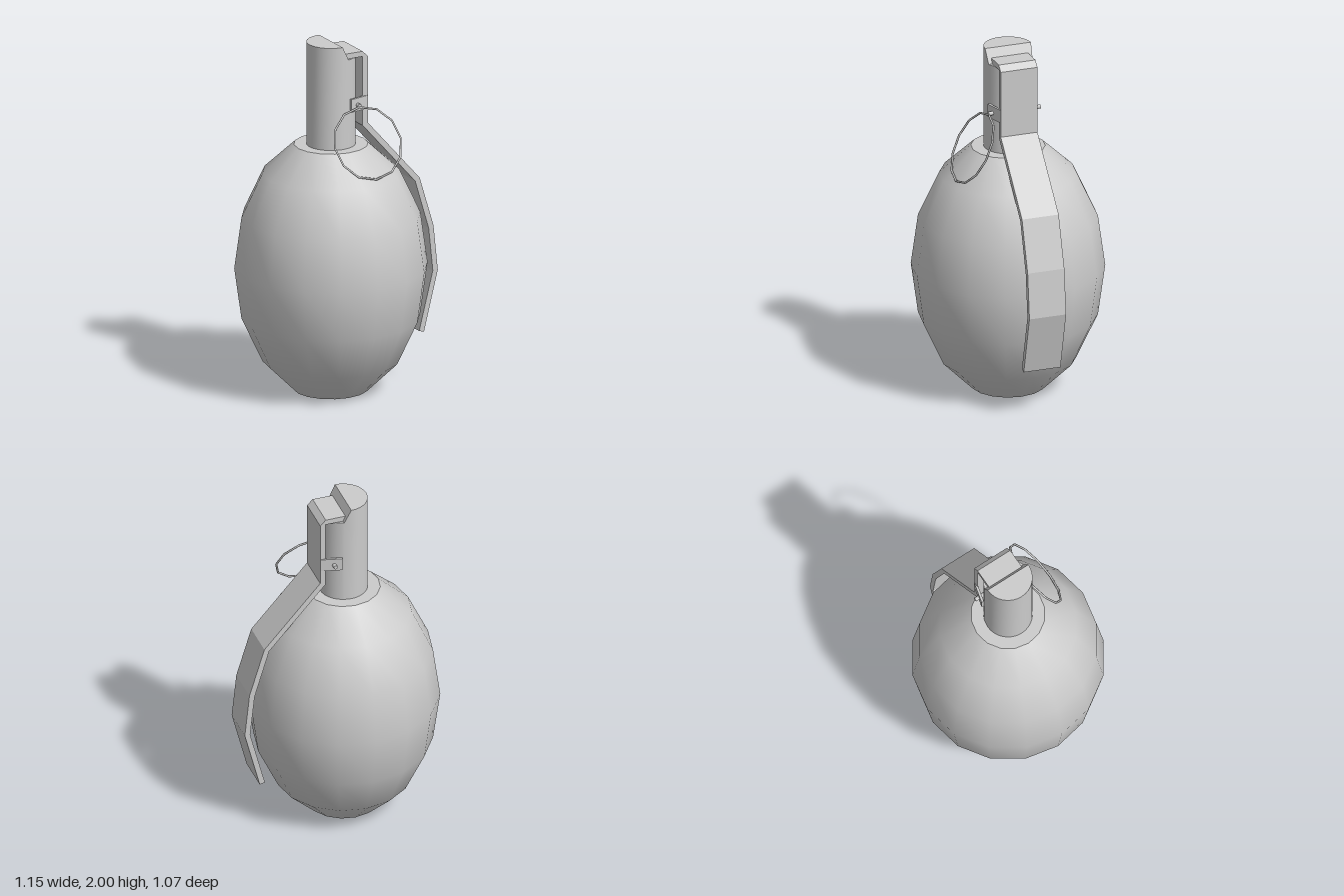
import * as THREE from 'three';
import { toCreasedNormals } from 'three/addons/utils/BufferGeometryUtils.js';

const AXIS_X = -0.04; // body and neck share this vertical axis

// Cylinder whose top follows a stepped height: high half, slope, low shelf
function neckGeometry(r, bottom, top, shelf, step, n = 16) {
  const rim = [];
  for (let i = 0; i <= n; i++) {
    const a = i === n / 2 - 1 ? Math.acos(step / r) : (Math.PI * i) / n;
    const x = r * Math.cos(a);
    const t = THREE.MathUtils.clamp(x / step, 0, 1);
    rim.push({ x, z: r * Math.sin(a), y: top + (shelf - top) * t });
  }
  const pos = [];
  const quad = (a, b, c, d) => pos.push(...a, ...b, ...c, ...a, ...c, ...d);
  for (let i = 0; i < n; i++) {
    const p = rim[i], q = rim[i + 1];
    const at = (v, y, s) => [v.x, y, s * v.z];
    quad(at(p, p.y, 1), at(p, p.y, -1), at(q, q.y, -1), at(q, q.y, 1));
    quad(at(q, bottom, 1), at(p, bottom, 1), at(p, p.y, 1), at(q, q.y, 1));
    quad(at(p, bottom, -1), at(q, bottom, -1), at(q, q.y, -1), at(p, p.y, -1));
  }
  const g = new THREE.BufferGeometry();
  g.setAttribute('position', new THREE.Float32BufferAttribute(pos, 3));
  return toCreasedNormals(g, 0.6);
}

export function createModel() {
  const group = new THREE.Group();
  const material = new THREE.MeshStandardMaterial({ color: 0xcccccc });
  const add = (name, geometry, x = 0, y = 0, z = 0) => {
    const mesh = new THREE.Mesh(geometry, material);
    mesh.name = name;
    mesh.position.set(x, y, z);
    group.add(mesh);
    return mesh;
  };

  // Egg-shaped body with flat ends
  const profile = [
    [0, 0], [0.205, 0], [0.379, 0.17], [0.495, 0.42], [0.535, 0.71],
    [0.495, 1.0], [0.379, 1.25], [0.205, 1.412], [0, 1.412],
  ].map(([r, y]) => new THREE.Vector2(r, y));
  add('body', toCreasedNormals(new THREE.LatheGeometry(profile, 16), 0.6), AXIS_X);

  // Neck with the notch that the lever hooks into
  add('neck', neckGeometry(0.135, 1.4, 2, 1.92, 0.04), AXIS_X);

  // Bent strip lever: outer edge down, inner edge back up
  const outline = [
    [-0.015, 1.95], [0.1, 1.95], [0.132, 1.918], [0.132, 1.535], [0.458, 1.168],
    [0.545, 0.88], [0.572, 0.62], [0.485, 0.276],
    [0.455, 0.284], [0.541, 0.62], [0.515, 0.868], [0.43, 1.152],
    [0.1, 1.523], [0.1, 1.92], [0, 1.92],
  ].map(([x, y]) => new THREE.Vector2(x, y));
  const lever = new THREE.ExtrudeGeometry(new THREE.Shape(outline), { depth: 0.216, bevelEnabled: false });
  add('lever', lever, 0, 0, -0.108);

  // Lever tabs that clasp the neck on both sides
  for (const s of [1, -1]) {
    const tab = add('leverTab', new THREE.BoxGeometry(0.122, 0.075, 0.014), 0.07, 1.655, s * 0.118);
    tab.rotation.y = s * 0.25;
  }

  // Cross pin through the tabs
  const pin = new THREE.CylinderGeometry(0.012, 0.012, 0.306, 8);
  add('pin', pin.rotateX(Math.PI / 2), 0.057, 1.653);

  // Pull ring hanging outwards from the pin
  const ring = add('pullRing', new THREE.TorusGeometry(0.206, 0.006, 6, 12), 0.057, 1.464, 0.246);
  ring.rotation.set(-0.49, 0, 0);

  return group;
}
